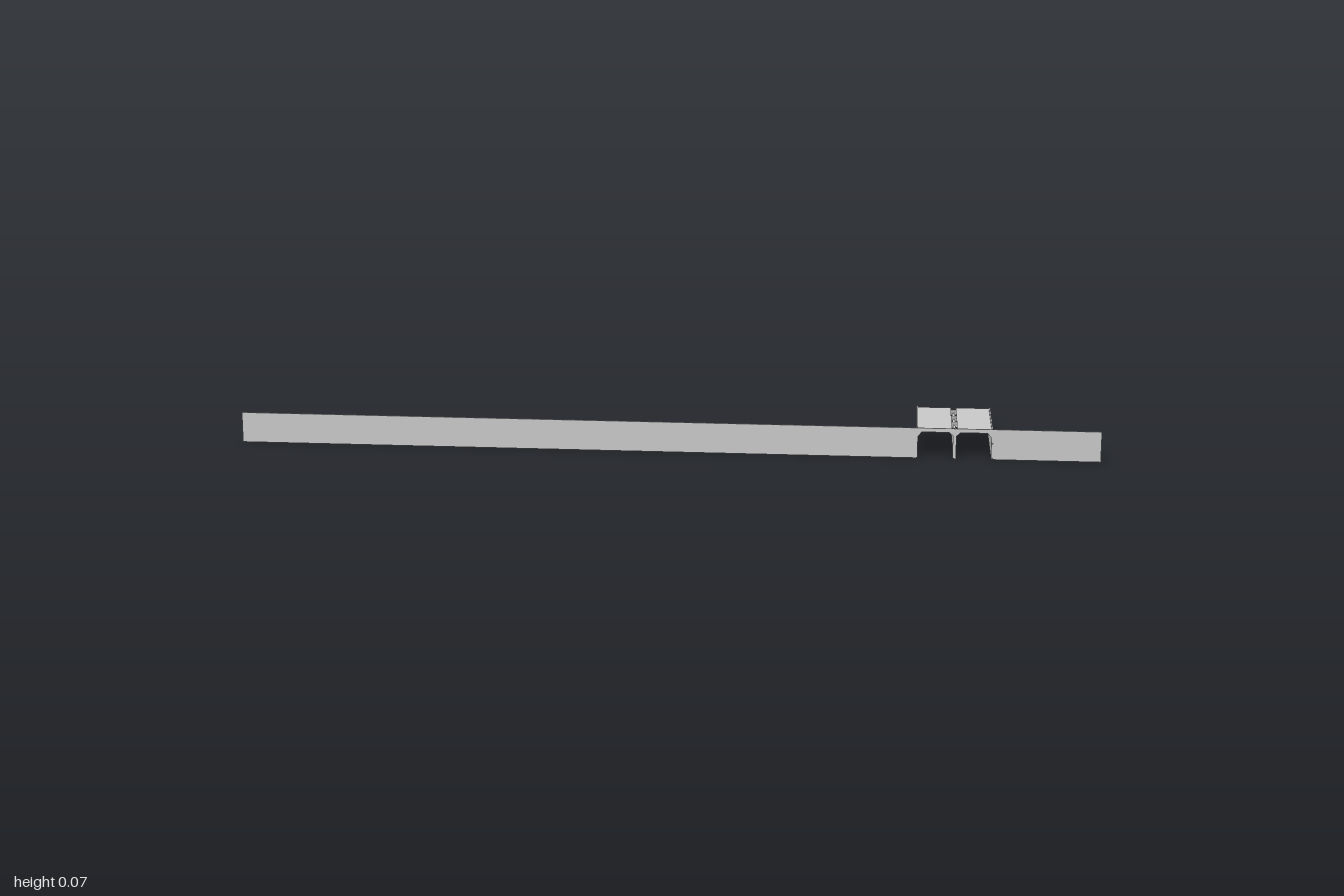
import * as THREE from 'three';

const material = new THREE.MeshStandardMaterial({ color: 0xcccccc, flatShading: true, side: THREE.DoubleSide });
const FRONT = 0.113, BACK = -0.113;
const X0 = 0.58, X1 = 0.754, MID = 0.667; // outer walls and central pier wall

function polygon(points) {
  return new THREE.Shape(points.map(([x, y]) => new THREE.Vector2(x, y)));
}

function rect(x0, y0, x1, y1) {
  return polygon([[x0, y0], [x1, y0], [x1, y1], [x0, y1]]);
}

// Extrudes a front-facing shape between two z positions.
function extrude(name, shape, z0, z1) {
  const geometry = new THREE.ExtrudeGeometry(shape, { depth: z1 - z0, bevelEnabled: false });
  geometry.translate(0, 0, z0);
  const mesh = new THREE.Mesh(geometry, material);
  mesh.name = name;
  return mesh;
}

export function createModel() {
  const model = new THREE.Group();
  model.name = 'embankmentWallWithCulvert';

  // Long front wall, with two haunched openings cut from its lower edge
  const face = polygon([
    [-1, 0], [X0, 0], [X0, 0.052], [X0 + 0.01, 0.062],
    [MID - 0.012, 0.062], [MID - 0.004, 0.054], [MID - 0.004, 0],
    [MID + 0.004, 0], [MID + 0.004, 0.054], [MID + 0.012, 0.062],
    [X1 - 0.01, 0.062], [X1, 0.052], [X1, 0], [1, 0], [1, 0.071], [-1, 0.071],
  ]);
  model.add(extrude('frontWall', face, FRONT - 0.003, FRONT));

  // Each bay has an outer wall with a low parapet and a roof slab with haunches
  for (const side of [-1, 1]) {
    const bay = new THREE.Group();
    bay.name = side < 0 ? 'rightBay' : 'leftBay';
    const outer = side < 0 ? X0 : X1;
    const inner = MID + side * 0.006;
    const at = (d) => outer - side * d; // distance inward from the outer wall
    bay.add(extrude('outerWall', rect(outer, 0, at(0.003), 0.07), BACK + 0.004, FRONT - 0.003));
    const roof = polygon([
      [at(0.003), 0.05], [at(0.012), 0.061], [inner + side * 0.007, 0.061],
      [inner, 0.054], [inner, 0.066], [at(0.003), 0.066],
    ]);
    bay.add(extrude('roofSlab', roof, BACK, FRONT - 0.003));
    model.add(bay);
  }

  // Central wall pierced by four square windows
  const spacing = 0.06;
  const windowZ = [-1.5, -0.5, 0.5, 1.5].map((i) => i * spacing);
  const pier = rect(BACK, 0, FRONT - 0.003, 0.06);
  for (const z of windowZ) {
    const w = 0.015;
    pier.holes.push(new THREE.Path([
      new THREE.Vector2(z - w, 0.014), new THREE.Vector2(z - w, 0.045),
      new THREE.Vector2(z + w, 0.045), new THREE.Vector2(z + w, 0.014),
    ]));
  }
  const pierGeometry = new THREE.ExtrudeGeometry(pier, { depth: 0.006, bevelEnabled: false });
  pierGeometry.rotateY(-Math.PI / 2);
  pierGeometry.translate(MID + 0.003, 0, 0);
  const pierWall = new THREE.Mesh(pierGeometry, material);
  pierWall.name = 'centralWall';
  model.add(pierWall);

  // Short ties across the slot between the roof slabs
  const ties = new THREE.Group();
  ties.name = 'roofTies';
  for (const z of windowZ) {
    const tie = new THREE.Mesh(new THREE.BoxGeometry(0.014, 0.008, 0.02), material);
    tie.name = 'roofTie';
    tie.position.set(MID, 0.06, z);
    ties.add(tie);
  }
  model.add(ties);
  return model;
}
